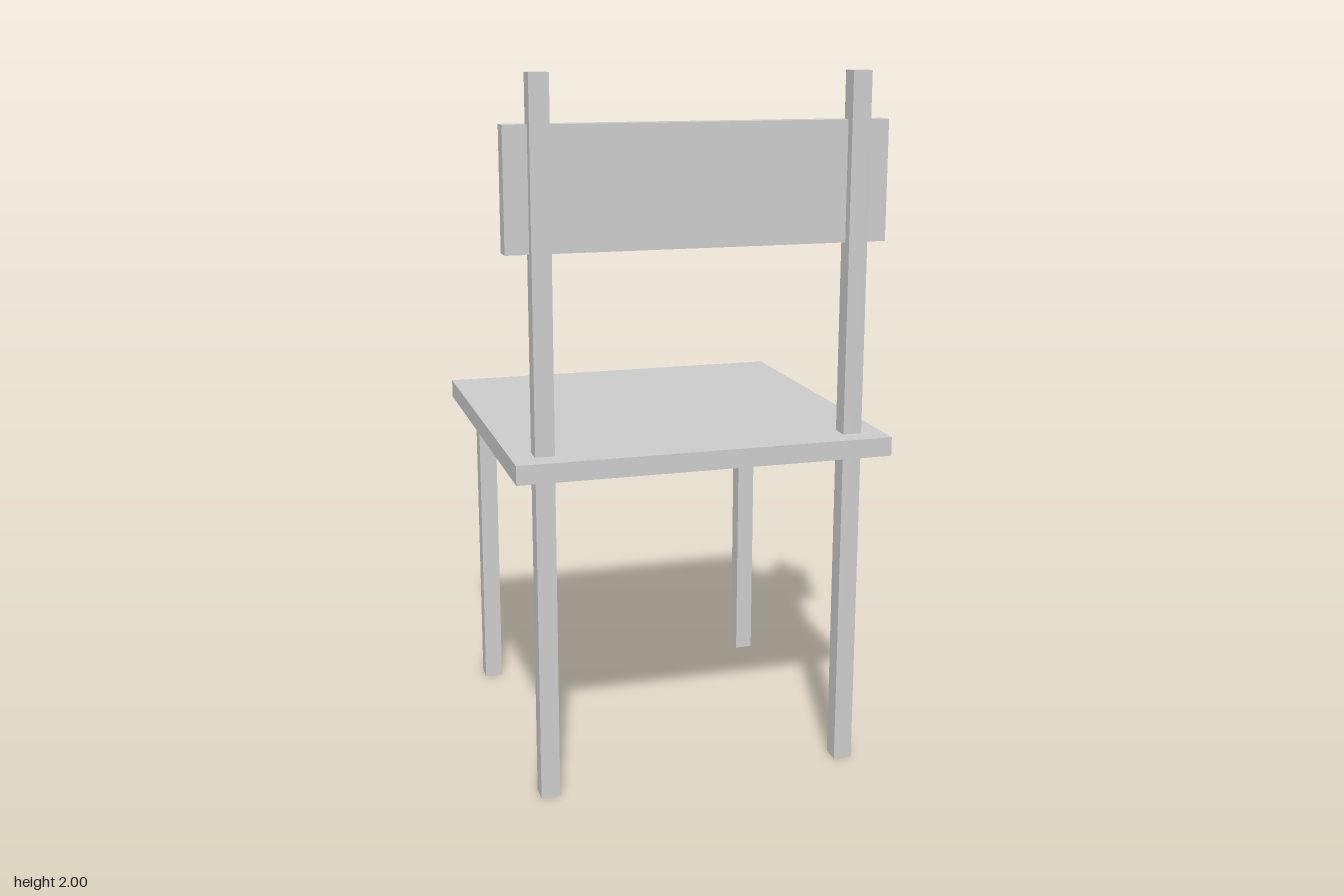
import * as THREE from 'three';

const material = new THREE.MeshStandardMaterial({ color: 0xcccccc, flatShading: true });

// Box given by its size and the position of its bottom centre
function addBox(parent, name, [w, h, d], [x, y, z]) {
  const mesh = new THREE.Mesh(new THREE.BoxGeometry(w, h, d), material);
  mesh.name = name;
  mesh.position.set(x, y + h / 2, z);
  parent.add(mesh);
}

export function createModel() {
  const chair = new THREE.Group();
  chair.name = 'chair';

  const width = 1.07;      // seat width and depth, backrest width
  const thick = 0.054;     // thickness of seat, backrest and posts
  const inset = 0.443;     // post centres from the middle
  const seatBottom = 0.941;

  addBox(chair, 'seat', [width, thick, width], [0, seatBottom, 0]);

  for (const [side, sx] of [['left', 1], ['right', -1]]) {
    // Short legs stop under the seat; tall posts pass through to carry the backrest
    addBox(chair, `${side}ShortLeg`, [thick, seatBottom, thick], [sx * inset, 0, -inset]);
    addBox(chair, `${side}BackPost`, [thick, 2, thick], [sx * inset, 0, inset]);
  }

  // Backrest board, let halfway into the posts
  addBox(chair, 'backrest', [width, 0.334, thick], [0, 1.535, 0.416]);

  return chair;
}
